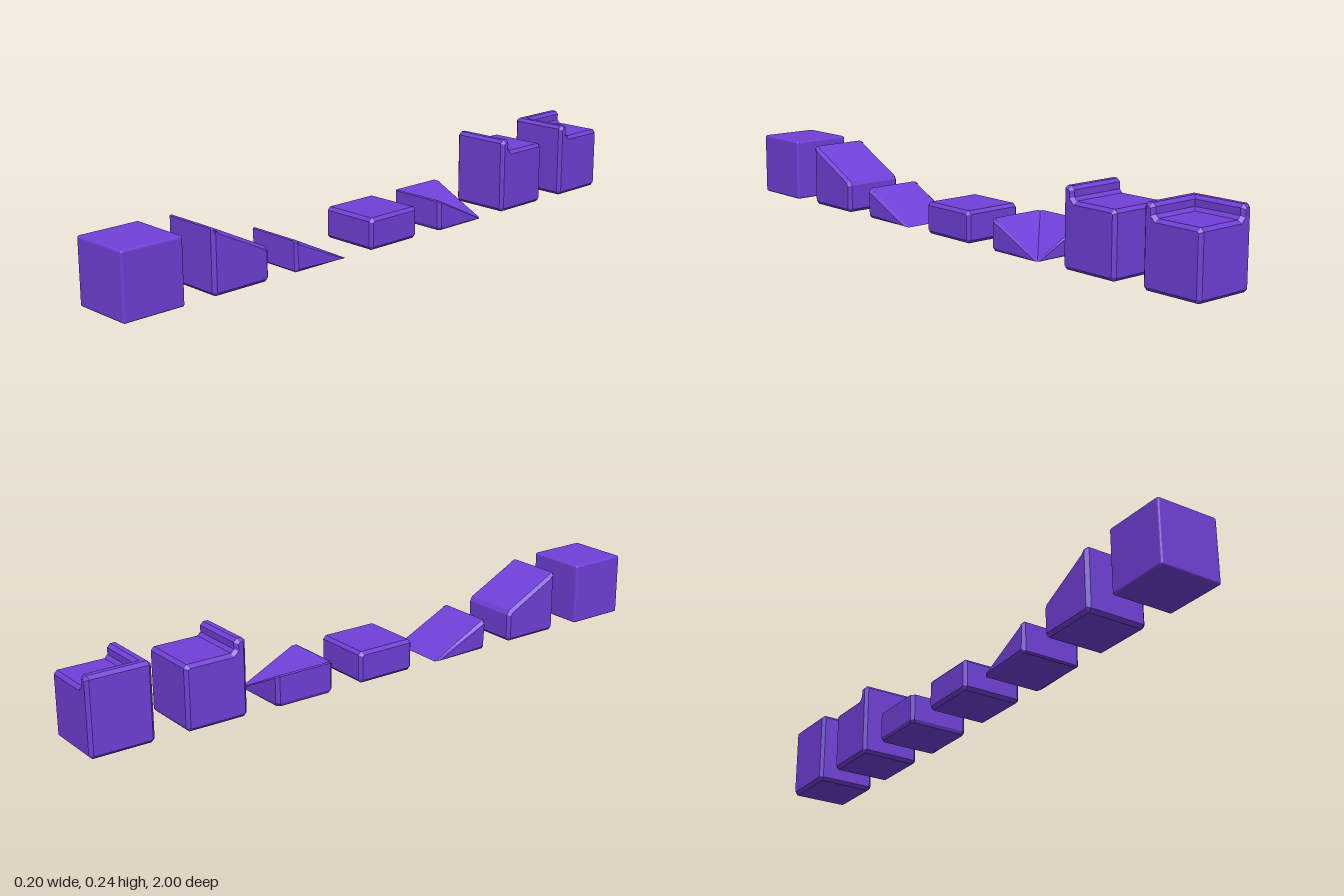
import * as THREE from 'three';
import { RoundedBoxGeometry } from 'three/addons/geometries/RoundedBoxGeometry.js';

const H = 0.1;   // half of a block's width
const B = 0.01;  // chamfer size
const material = new THREE.MeshStandardMaterial({ color: 0x7040d8, flatShading: true });

// Cuts each corner [z, y, cut] of a side profile; a cut of 0 leaves it sharp
function chamferedShape(corners) {
  const points = [];
  corners.forEach(([z, y, cut = B], i) => {
    const p = new THREE.Vector2(z, y);
    if (!cut) return points.push(p);
    for (const step of [-1, 1]) {
      const [nz, ny] = corners[(i + step + corners.length) % corners.length];
      const dir = new THREE.Vector2(nz, ny).sub(p).normalize();
      points.push(p.clone().addScaledVector(dir, cut));
    }
  });
  return new THREE.Shape(points);
}

// Extrudes a (z, y) profile across x with chamfered ends
function profileBlock(corners) {
  const geo = new THREE.ExtrudeGeometry(chamferedShape(corners), {
    depth: 2 * (H - B), bevelEnabled: true, bevelSegments: 1,
    bevelThickness: B, bevelSize: B, bevelOffset: -B,
  });
  return geo.translate(0, 0, B - H).rotateY(-Math.PI / 2);
}

// Inside-corner ramp: two slopes meeting in a diagonal valley
function valleyRamp() {
  const c = H - B, m = H - B / 2;
  // Footprint, starting at the low corner
  const ring = [[m, -m], [c, -H], [-c, -H], [-H, -c], [-H, c], [-m, m],
    [-c, H], [c, H], [H, c], [H, -c]];
  const n = ring.length;
  const height = (x, z) => Math.max(z + H, H - x) / 2;
  const levels = [
    [0.95, () => 0],
    [1, (h) => Math.min(B, 0.4 * h)],
    [1, (h) => Math.max(h - 0.6 * B, 0.6 * h)],
    [0.94, (h) => h],
  ];
  const pos = [], index = [];
  for (const [s, yOf] of levels) {
    for (const [x, z] of ring) pos.push(x * s, yOf(height(x * s, z * s)), z * s);
  }
  for (let l = 0; l < levels.length - 1; l++) {
    for (let i = 0; i < n; i++) {
      const a = l * n + i, b = l * n + (i + 1) % n;
      index.push(a, a + n, b, b, a + n, b + n);
    }
  }
  const top = (levels.length - 1) * n;
  for (let i = 1; i < n - 1; i++) {
    index.push(top, top + i + 1, top + i);
    index.push(0, i, i + 1);
  }
  // The ring runs from low corner along the back, so flip to face outward
  const geo = new THREE.BufferGeometry();
  geo.setAttribute('position', new THREE.Float32BufferAttribute(pos, 3));
  geo.setIndex(orient(index, pos));
  const flat = geo.toNonIndexed();
  flat.computeVertexNormals();
  return flat;
}

// Turns every triangle away from a point inside the ramp
function orient(index, pos) {
  const inside = new THREE.Vector3(-0.01, 0.025, 0.01);
  const v = (i) => new THREE.Vector3().fromArray(pos, i * 3);
  const out = [];
  for (let i = 0; i < index.length; i += 3) {
    const [a, b, c] = index.slice(i, i + 3);
    const normal = v(b).sub(v(a)).cross(v(c).sub(v(a)));
    if (normal.dot(v(a).sub(inside)) < 0) out.push(a, c, b);
    else out.push(a, b, c);
  }
  return out;
}

export function createModel() {
  const group = new THREE.Group();
  const add = (name, geometry, z) => {
    const mesh = new THREE.Mesh(geometry, material);
    mesh.name = name;
    mesh.position.z = z;
    group.add(mesh);
    return mesh;
  };

  // Raised lip along the front edge, with a small fillet at its foot
  const lip = [[H, 0.24], [H - 0.036, 0.24], [H - 0.036, 0.2]];
  const edgeProfile = [[-H, 0], [H, 0], ...lip, [-H, 0.2]];
  const lipProfile = [[H - 0.05, 0.18, 0], [H, 0.18, 0], ...lip, [H - 0.05, 0.2, 0]];

  // Plain blocks
  add('fullBlock', new RoundedBoxGeometry(0.2, 0.2, 0.2, 3, 0.007).translate(0, H, 0), 0.9);
  add('halfBlock', profileBlock([[-H, 0], [H, 0], [H, 0.1], [-H, 0.1]]), 0);

  // Ramps
  add('upperRamp', profileBlock([[-H, 0], [H, 0], [H, 0.2, 0.005], [-H, 0.1]]), 0.6);
  add('lowerRamp', profileBlock([[-H, 0, 0], [H, 0, 0.005], [H, 0.1, 0.005]]), 0.3);
  add('cornerRamp', valleyRamp(), -0.3);

  // Lipped blocks
  add('edgeBlock', profileBlock(edgeProfile), -0.6);
  add('cornerBlock', profileBlock(edgeProfile), -0.9);
  add('cornerBlockSideLip', profileBlock(lipProfile), -0.9).rotation.y = -Math.PI / 2;

  return group;
}
